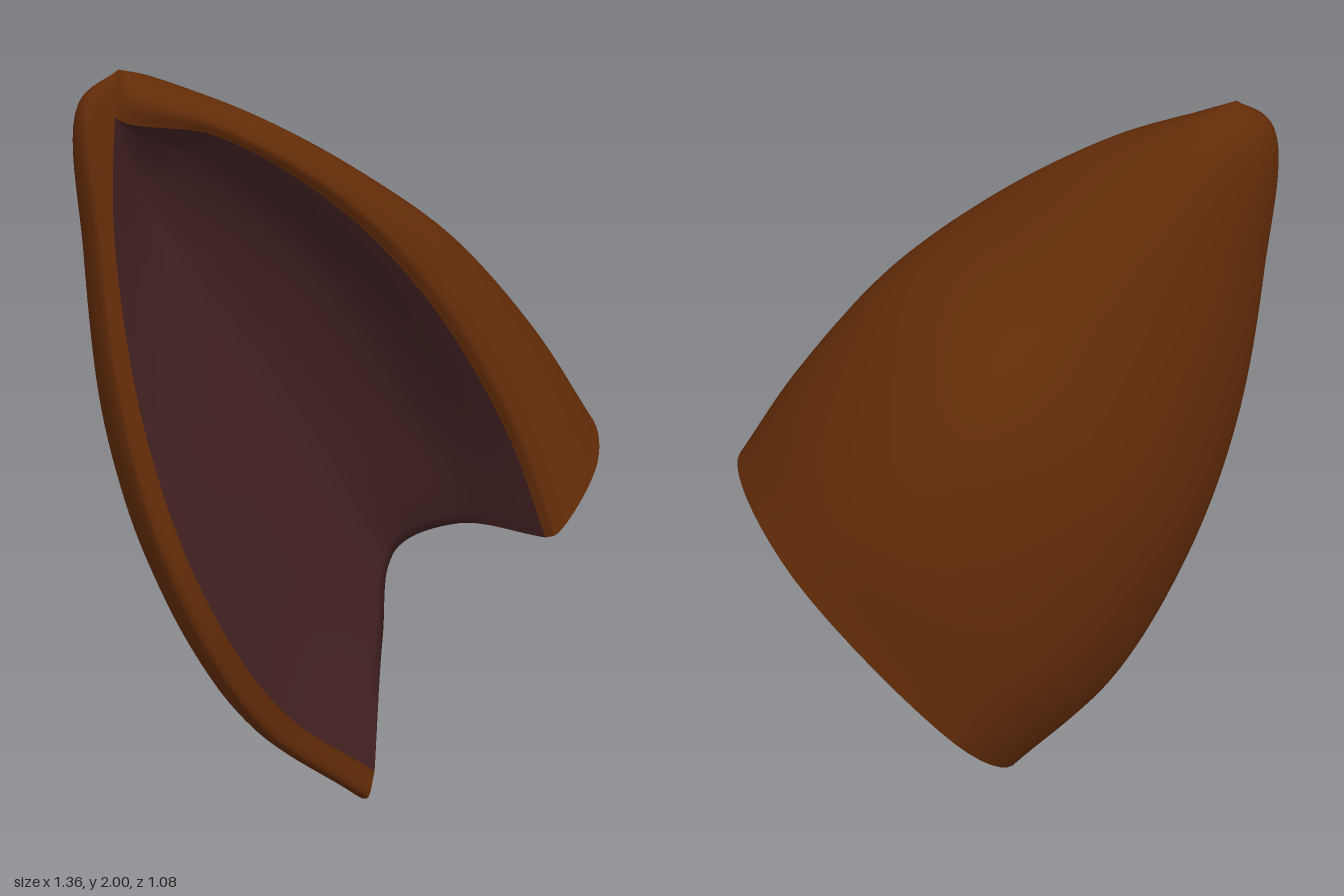
import * as THREE from 'three';

const brown = new THREE.MeshStandardMaterial({ color: 0x612b08 });
brown.name = 'brown fur';
const plum = new THREE.MeshStandardMaterial({ color: 0x412021 });
plum.name = 'plum lining';

// Lengthwise guide curves, each running from the cut base to the shared tip
const TIP = [-0.51, 2.0, -0.33];
const POCKET = [-0.56, 1.89, -0.29];
const guide = (points) => new THREE.CatmullRomCurve3([...points, TIP].map((p) => new THREE.Vector3(...p)));

const leftLip = [[-0.11, 0.1, 0.17], [-0.4, 0.37, 0.09], [-0.59, 0.75, 0], [-0.64, 1.15, -0.13], [-0.61, 1.6, -0.25], POCKET];
const rightLip = [[0.2, 0.785, 0.5], [0.165, 1.06, 0.39], [0.04, 1.4, 0.23], [-0.14, 1.66, 0.06], [-0.37, 1.84, -0.13], POCKET];

// Outer shell, from the left lip round the back to the right lip
const outerGuides = [
  leftLip,
  [[-0.135, 0.025, 0.165], [-0.45, 0.33, 0.06], [-0.635, 0.74, -0.04], [-0.68, 1.15, -0.16], [-0.645, 1.6, -0.27], [-0.62, 1.92, -0.32]],
  [[0.03, 0.055, -0.18], [-0.22, 0.33, -0.31], [-0.42, 0.72, -0.38], [-0.54, 1.1, -0.4], [-0.58, 1.55, -0.41], [-0.6, 1.92, -0.38]],
  [[0.42, 0.48, -0.4], [0.22, 0.72, -0.5], [0, 1.0, -0.54], [-0.2, 1.3, -0.515], [-0.4, 1.62, -0.465], [-0.52, 1.92, -0.41]],
  [[0.68, 0.95, -0.08], [0.54, 1.15, -0.25], [0.34, 1.37, -0.35], [0.06, 1.57, -0.37], [-0.23, 1.79, -0.39], [-0.44, 1.95, -0.38]],
  [[0.58, 1.03, 0.35], [0.44, 1.3, 0.23], [0.25, 1.55, 0.09], [0.01, 1.73, -0.04], [-0.24, 1.89, -0.2], [-0.42, 1.98, -0.32]],
  [[0.4, 0.95, 0.52], [0.29, 1.22, 0.4], [0.13, 1.52, 0.24], [-0.07, 1.74, 0.06], [-0.3, 1.9, -0.13], [-0.46, 1.965, -0.26]],
  [[0.21, 0.8, 0.53], [0.17, 1.08, 0.42], [0.05, 1.42, 0.26], [-0.13, 1.68, 0.09], [-0.36, 1.86, -0.11], [-0.53, 1.94, -0.26]],
  rightLip,
].map(guide);

// Hollow, between the same two lips
const innerGuides = [
  leftLip,
  [[0.08, 0.4, 0.03], [-0.17, 0.6, -0.02], [-0.38, 0.9, -0.09], [-0.48, 1.25, -0.19], [-0.53, 1.62, -0.28], POCKET],
  [[0.16, 0.63, 0], [0.02, 0.87, -0.08], [-0.13, 1.12, -0.16], [-0.31, 1.42, -0.25], [-0.45, 1.7, -0.305], POCKET],
  [[0.205, 0.75, 0.19], [0.15, 1.01, 0.08], [0.015, 1.31, -0.01], [-0.18, 1.57, -0.13], [-0.4, 1.785, -0.23], POCKET],
  rightLip,
].map(guide);

const ACROSS = 64;
const ALONG = 60;
const POCKET_END = 50; // the row where the lips meet, five sixths of the way up

// One cross-section: a smooth curve through all guides
function section(guides, row) {
  return new THREE.CatmullRomCurve3(guides.map((g) => g.getPoint(row / ALONG))).getPoints(ACROSS);
}

// Surface through rows of equally many points
function skin(rows, flip) {
  const n = rows[0].length;
  const index = [];
  for (let r = 0; r < rows.length - 1; r++) {
    for (let i = 0; i < n - 1; i++) {
      const a = r * n + i, b = a + 1, c = a + n, d = c + 1;
      if (flip) index.push(a, c, b, b, c, d);
      else index.push(a, b, c, b, d, c);
    }
  }
  const geometry = new THREE.BufferGeometry().setFromPoints(rows.flat());
  geometry.setIndex(index);
  geometry.computeVertexNormals();
  return geometry;
}

function addMesh(group, name, geometry, material) {
  const mesh = new THREE.Mesh(geometry, material);
  mesh.name = name;
  group.add(mesh);
}

export function createModel() {
  const group = new THREE.Group();
  group.name = 'ear';

  const outer = [];
  const inner = [];
  for (let row = 0; row <= ALONG; row++) {
    outer.push(section(outerGuides, row));
    if (row <= POCKET_END) inner.push(section(innerGuides, row));
  }

  // Cut base, running from the outer edge into the hollow
  const base = [];
  for (let k = 0; k < 8; k++) {
    base.push(outer[0].map((p, i) => p.clone().lerp(inner[0][i], k / 8)));
  }

  addMesh(group, 'outerShell', skin(outer, true), brown);
  addMesh(group, 'innerLining', skin([...base, ...inner], false), plum);
  return group;
}
